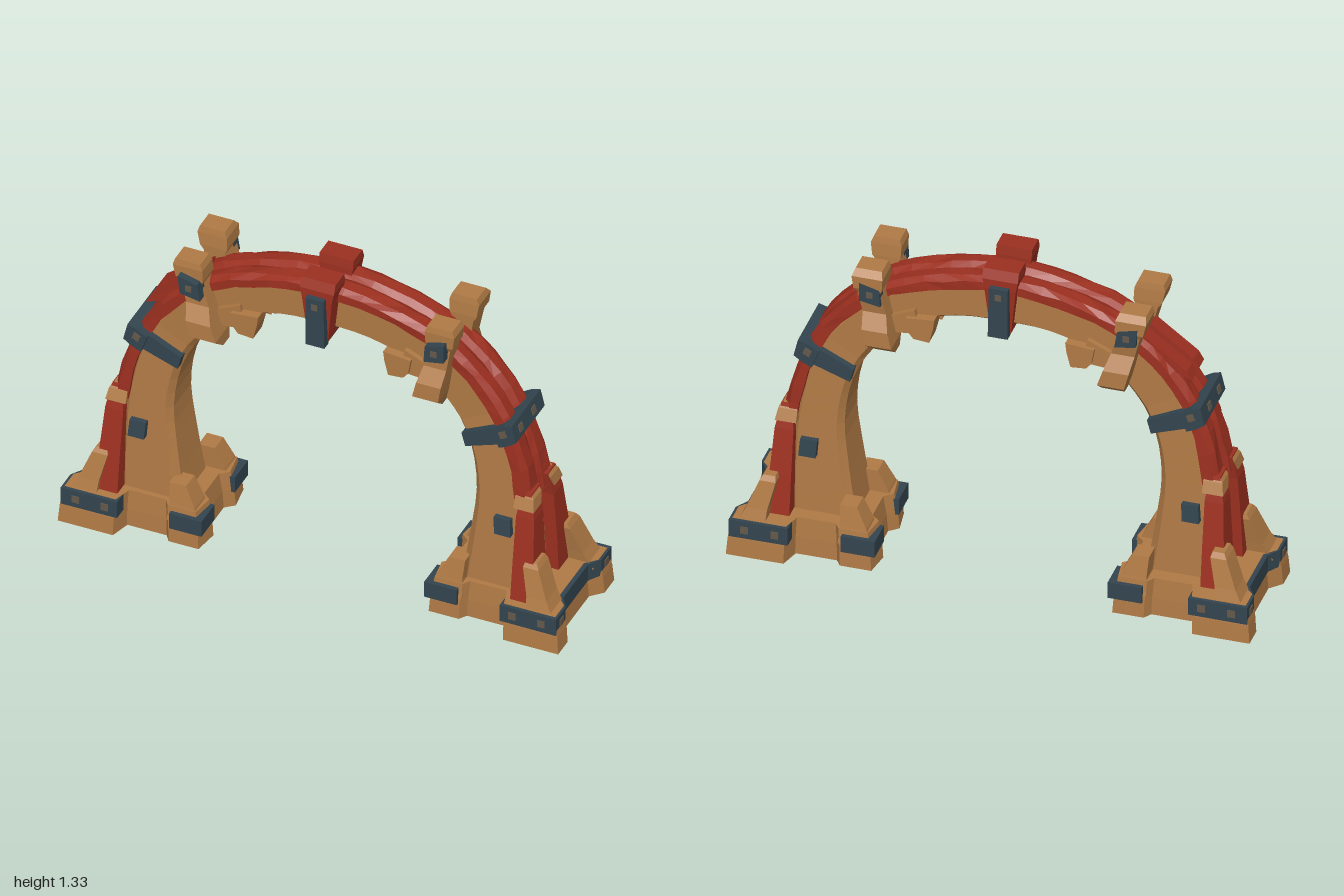
import * as THREE from 'three';

const mat = (name, color) => Object.assign(new THREE.MeshStandardMaterial({ color }), { name });

export function createModel() {
  const wood = mat('tan wood', 0xb07a45), red = mat('red shell', 0x9c3020);
  const iron = mat('dark iron', 0x33454f), rivet = mat('rivet', 0x65594a);
  const root = new THREE.Group();
  const arch = new THREE.Group();
  arch.name = 'arch';
  arch.position.z = 0.018;
  root.add(arch);

  const add = (parent, name, geo, material) => {
    const m = new THREE.Mesh(geo, material);
    m.name = name;
    parent.add(m);
    return m;
  };

  // Flat-shaded solid through a list of closed loops, facing outwards
  const loft = (rings) => {
    const tris = [], n = rings[0].length;
    const mid = (r) => r.reduce((a, p) => a.add(p), new THREE.Vector3()).divideScalar(n);
    for (let i = 0; i < rings.length - 1; i++)
      for (let j = 0; j < n; j++) {
        const k = (j + 1) % n, a = rings[i], b = rings[i + 1];
        tris.push([a[j], a[k], b[k]], [a[j], b[k], b[j]]);
      }
    const first = rings[0], last = rings[rings.length - 1], c0 = mid(first), c1 = mid(last);
    for (let j = 0; j < n; j++) {
      const k = (j + 1) % n;
      tris.push([c0, first[k], first[j]], [c1, last[j], last[k]]);
    }
    let vol = 0;
    const t = new THREE.Vector3();
    tris.forEach(([a, b, c]) => { vol += t.crossVectors(b, c).dot(a); });
    const pts = tris.flatMap(([a, b, c]) => (vol < 0 ? [a, c, b] : [a, b, c]));
    const g = new THREE.BufferGeometry().setFromPoints(pts);
    g.computeVertexNormals();
    return g;
  };

  // Outline in x,y pulled from z0 to z1
  const slab = (pts, z0, z1) => {
    const a = Math.min(z0, z1), b = Math.max(z0, z1);
    const shape = new THREE.Shape(pts.map(([x, y]) => new THREE.Vector2(x, y)));
    return new THREE.ExtrudeGeometry(shape, { depth: b - a, bevelEnabled: false }).translate(0, 0, a);
  };

  // Outline in x,z raised from y0 to y1
  const plate = (pts, y0, y1) =>
    slab(pts.map(([x, z]) => [x, -z]), 0, y1 - y0).rotateX(-Math.PI / 2).translate(0, y0, 0);

  // Upright block through levels of [x0, x1, z0, z1, y]
  const block = (sx, sz, levels) => loft(levels.map(([x0, x1, z0, z1, y]) =>
    [[x0, z0], [x1, z0], [x1, z1], [x0, z1]].map(([x, z]) => new THREE.Vector3(sx * x, y, sz * z))));

  // Outer and inner arch lines, matched point by point
  const line = (half) => new THREE.CatmullRomCurve3([
    ...half.map(([x, y]) => new THREE.Vector3(-x, y, 0)),
    ...half.slice(0, -1).reverse().map(([x, y]) => new THREE.Vector3(x, y, 0))]);
  const outer = line([[0.87, 0.12], [0.855, 0.35], [0.83, 0.58], [0.765, 0.83],
    [0.65, 1.02], [0.49, 1.16], [0.25, 1.25], [0, 1.285]]);
  const inner = line([[0.55, 0.12], [0.585, 0.35], [0.605, 0.56], [0.57, 0.75],
    [0.48, 0.9], [0.35, 1.02], [0.18, 1.08], [0, 1.09]]);
  const halfWidth = (t) => 0.085 + 0.037 * Math.max(0, 1 - Math.min(t, 1 - t) * 4);
  let seed = 7;
  const rough = (s) => ((seed = (seed * 16807) % 2147483647) / 2147483647 - 0.5) * s;

  // Sweep a section of [share of depth, z] along the arch
  const sweep = (t0, t1, steps, section, chip = 0) => {
    const rings = [];
    for (let i = 0; i <= steps; i++) {
      const t = t0 + ((t1 - t0) * i) / steps, o = outer.getPoint(t), n = inner.getPoint(t);
      rings.push(section(halfWidth(t)).map(([a, z]) => {
        const p = n.clone().lerp(o, a + rough(chip));
        p.z = z + rough(chip * 0.1);
        return p;
      }));
    }
    return loft(rings);
  };

  add(arch, 'archBody', sweep(0, 1, 44, (w) => [[0, -w + 0.025], [0.1, -w], [0.72, -w], [0.86, -w + 0.03],
    [0.86, w - 0.03], [0.72, w], [0.1, w], [0, w - 0.025]]), wood);
  for (const s of [1, -1]) {
    add(arch, 'roofShell', sweep(0.13, 0.87, 34, (w) => [[0.74, s * (w + 0.01)], [0.92, s * (w + 0.01)],
      [1, s * (w - 0.015)], [0.99, s * 0.025], [0.91, s * 0.002], [0.74, s * 0.002]], 0.04), red);
    add(arch, 'brokenShellFlake', slab([[-0.72, 0.98], [-0.7, 1.015], [-0.5, 1.165], [-0.5, 1.13], [-0.62, 1.02]],
      s * 0.012, s * 0.075), red);
  }

  // Keystone heads with iron straps, set slightly forward
  const keystone = new THREE.Group();
  keystone.name = 'keystoneGroup';
  keystone.position.z = 0.018;
  arch.add(keystone);
  for (const s of [1, -1]) {
    add(keystone, 'keystone', block(1, s, [[-0.04, 0.04, 0.035, 0.125, 1.075], [-0.06, 0.06, 0.035, 0.135, 1.26],
      [-0.068, 0.068, 0.035, 0.135, 1.3], [-0.068, 0.068, 0.04, 0.12, 1.337]]), red);
    add(keystone, 'keystoneStrap', slab([[-0.036, 1.275], [0.036, 1.275], [0.04, 1.065], [-0.036, 1.065]], s * 0.12, s * 0.157), iron);
    add(keystone, 'strapRivet', new THREE.BoxGeometry(0.025, 0.025, 0.006).translate(0, 1.24, s * 0.157), rivet);
  }
  add(keystone, 'keystoneUnderStrap', slab([[-0.035, 1.1], [0.035, 1.1], [0.035, 1.065], [-0.035, 1.065]], -0.13, 0.13), iron);

  for (const sx of [1, -1]) {
    const flip = (pts) => pts.map(([x, y]) => [sx * x, y]);
    // The post on the right side leans a little more
    const lean = (x, y) => x + (sx < 0 ? 0.1 * (y - 1) : 0);

    // Iron clasp over the shoulder
    add(arch, 'claspBack', slab(flip([[0.69, 0.862], [0.735, 0.89], [0.768, 0.9], [0.785, 0.83], [0.75, 0.805], [0.715, 0.79]]),
      -0.128, 0.128), iron);
    for (const z of [-0.045, 0.07])
      add(arch, 'claspRivet', new THREE.BoxGeometry(0.008, 0.03, 0.03).rotateZ(sx * 0.24)
        .translate(sx * 0.777, 0.864, z), rivet);

    // Foot block with projecting corners
    const half = [[0.957, 0.12], [1, 0.165], [1, 0.25], [0.78, 0.25], [0.76, 0.17], [0.6, 0.17],
      [0.58, 0.2], [0.46, 0.2], [0.445, 0.1], [0.48, 0.07]];
    const plan = [...half, ...half.slice().reverse().map(([x, z]) => [x, -z])];
    add(root, 'footBlock', loft([[0.008, 1], [0.08, 0.98], [0.16, 0.93]].map(([y, k]) =>
      plan.map(([x, z]) => new THREE.Vector3(sx * (0.72 + (x - 0.72) * k), y, z * k)))), wood);

    // Iron band round the outer end of the foot
    const edge = [[0.765, 0.246], [0.99, 0.248], [0.99, 0.16], [0.958, 0.11]];
    const inside = [[0.765, 0.19], [0.93, 0.19], [0.93, 0.155], [0.91, 0.11]];
    const back = (pts) => pts.slice().reverse().map(([x, z]) => [x, -z]);
    add(root, 'footBand', plate(flip([...edge, ...back(edge), ...inside.map(([x, z]) => [x, -z]),
      ...inside.slice().reverse()]), 0.087, 0.159), iron);

    for (const s of [1, -1]) {
      add(arch, 'claspSide', slab(flip([[0.575, 0.745], [0.56, 0.8], [0.7, 0.868], [0.73, 0.8]]), s * 0.08, s * 0.113), iron);
      add(arch, 'claspSideRivet', slab(flip([[0.725, 0.835], [0.715, 0.86], [0.74, 0.873], [0.75, 0.848]]), s * 0.127, s * 0.133), rivet);
      add(arch, 'ironStud', block(sx, s, [[0.7, 0.765, 0.09, 0.135, 0.4], [0.695, 0.76, 0.09, 0.128, 0.47]]), iron);

      // Leaning side post with a flared foot and a square head, its neck thicker at the back
      const neck = s > 0 ? 0.145 : 0.162;
      add(arch, 'sidePost', block(sx, s, [[0.4, 0.485, 0.06, 0.115, 0.91], [0.395, 0.498, 0.06, 0.185, 0.965],
        [0.41, 0.508, 0.06, 0.183, 1.03], [0.425, 0.515, 0.06, 0.148, 1.09], [0.445, 0.53, 0.06, neck, 1.18],
        [0.435, 0.543, 0.06, neck + 0.01, 1.2], [0.432, 0.55, 0.065, neck + 0.01, 1.25], [0.44, 0.54, 0.07, 0.15, 1.275]]
        .map(([x0, x1, z0, z1, y]) => [lean(x0, y), lean(x1, y), z0, z1, y])), wood);
      const face = s > 0 ? 0.184 : 0.174;
      add(arch, 'postPlate', slab(flip([[0.44, 1.135], [0.445, 1.205], [0.52, 1.225], [0.52, 1.15]]
        .map(([x, y]) => [lean(x, y), y])), s * 0.13, s * face), iron);
      add(arch, 'plateRivet', new THREE.BoxGeometry(0.025, 0.025, 0.006)
        .translate(sx * lean(0.481, 1.18), 1.18, s * face), rivet);
      add(arch, 'bracket', slab(flip([[0.25, 1.08], [0.36, 1.07], [0.35, 1.01], [0.33, 0.985], [0.27, 0.98], [0.255, 1.04]]),
        s * 0.04, s * 0.12), wood);
      add(arch, 'bracketArm', slab(flip([[0.31, 1.0], [0.33, 1.1], [0.42, 1.06], [0.42, 0.99]]), s * 0.04, s * 0.105), wood);

      // Splayed red leg with a tan collar at its top
      add(arch, 'legShell', block(sx, s, [[0.785, 0.875, 0.055, 0.185, 0.13], [0.785, 0.868, 0.052, 0.158, 0.32],
        [0.785, 0.857, 0.047, 0.128, 0.5], [0.8, 0.838, 0.03, 0.105, 0.6]]), red);
      add(arch, 'legCollar', block(sx, s, [[0.775, 0.856, 0.06, 0.13, 0.535], [0.775, 0.848, 0.04, 0.112, 0.58],
        [0.79, 0.835, 0.04, 0.1, 0.6]]), wood);

      // Buttresses on the foot corners
      add(root, 'outerButtress', block(sx, s, [[0.86, 0.972, 0.125, 0.23, 0.13], [0.855, 0.935, 0.115, 0.21, 0.2],
        [0.83, 0.892, 0.095, 0.185, 0.31], [0.835, 0.88, 0.1, 0.172, 0.33]]), wood);
      add(root, 'innerButtress', block(sx, s, [[0.465, 0.59, 0.09, 0.195, 0.1], [0.485, 0.585, 0.09, 0.18, 0.17],
        [0.525, 0.59, 0.09, 0.165, 0.25]]), wood);
      add(root, 'innerBand', plate([[0.575, 0.207], [0.445, 0.207], [0.445, 0.09], [0.49, 0.09], [0.49, 0.17], [0.575, 0.17]]
        .map(([x, z]) => [sx * x, s * z]), 0.073, 0.14), iron);

      // Rivets on the foot bands
      for (const x of [0.815, 0.93])
        add(root, 'bandRivet', new THREE.BoxGeometry(0.03, 0.03, 0.008).translate(sx * x, 0.123, s * 0.246), rivet);
      add(root, 'bandRivet', new THREE.BoxGeometry(0.008, 0.03, 0.03).translate(sx * 0.99, 0.123, s * 0.2), rivet);
    }
  }
  return root;
}
